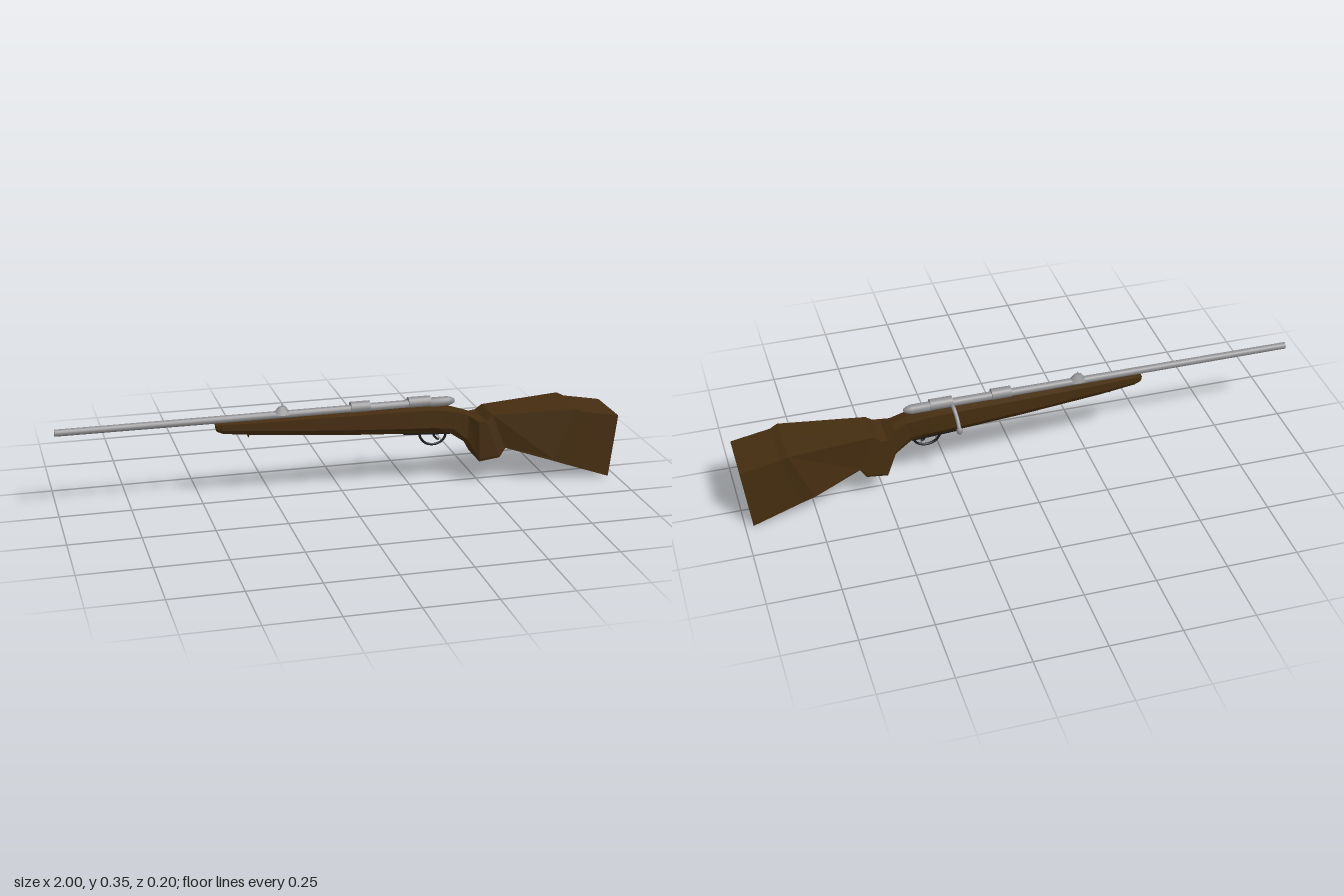
import * as THREE from 'three';

const wood = new THREE.MeshStandardMaterial({ color: 0x452d10 });
wood.name = 'walnut brown';
wood.flatShading = true;
const steel = new THREE.MeshStandardMaterial({ color: 0x8e8e90 });
steel.name = 'steel grey';
const black = new THREE.MeshStandardMaterial({ color: 0x17171a });
black.name = 'black';

// Stock sections: [top x, top y, bottom x, bottom y, half width, bottom width ratio, chamfer height, crown]
const SECTIONS = [
  [-0.450, 0.288, -0.447, 0.265, 0.015, 0.7, 0.008, 0.002],
  [-0.430, 0.290, -0.425, 0.256, 0.021, 0.6, 0.014, 0.004],
  [-0.300, 0.290, -0.300, 0.242, 0.027, 0.6, 0.018, 0.005],
  [0.000, 0.290, 0.000, 0.217, 0.035, 0.6, 0.022, 0.008],
  [0.250, 0.290, 0.250, 0.202, 0.042, 0.6, 0.024, 0.009],
  [0.330, 0.288, 0.330, 0.198, 0.043, 0.6, 0.024, 0.006],
  [0.410, 0.272, 0.395, 0.188, 0.034, 0.65, 0.022, 0.005],
  [0.455, 0.256, 0.452, 0.150, 0.037, 0.8, 0.015, 0.003],
  [0.485, 0.238, 0.490, 0.088, 0.066, 0.95, 0.010, 0],
  [0.510, 0.240, 0.565, 0.098, 0.067, 0.95, 0.010, 0],
  [0.535, 0.260, 0.587, 0.131, 0.062, 1, 0.006, 0],
  [0.835, 0.268, 0.755, 0.080, 0.099, 1, 0.006, 0],
  [0.862, 0.255, 0.800, 0.062, 0.095, 1, 0.006, 0],
  [1.000, 0.230, 0.972, 0.000, 0.095, 1, 0.040, 0],
];

// Lofts the sections into a closed, faceted solid
function loftStock() {
  const rings = SECTIONS.map(([tx, ty, bx, by, w, ratio, chamfer, crown]) => {
    const k = chamfer / (ty - by), mx = bx + (tx - bx) * k, my = by + chamfer;
    return [
      [tx, ty, w], [mx, my, w], [bx, by, w * ratio], [bx, by, -w * ratio],
      [mx, my, -w], [tx, ty, -w], [tx, ty + crown, 0],
    ];
  });
  const pos = [], n = rings[0].length;
  const tri = (...pts) => pts.forEach((p) => pos.push(...p));
  for (let i = 0; i < rings.length - 1; i++) {
    for (let j = 0; j < n; j++) {
      const k = (j + 1) % n;
      const a = rings[i][j], b = rings[i][k], c = rings[i + 1][k], d = rings[i + 1][j];
      tri(a, b, c);
      tri(a, c, d);
    }
  }
  const first = rings[0], last = rings[rings.length - 1];
  for (let j = 0; j < n - 2; j++) {
    tri(last[n - 1], last[j], last[j + 1]);
    tri(first[n - 1], first[j + 1], first[j]);
  }
  const geo = new THREE.BufferGeometry();
  geo.setAttribute('position', new THREE.Float32BufferAttribute(pos, 3));
  geo.computeVertexNormals();
  return geo;
}

export function createModel() {
  const group = new THREE.Group();
  const add = (name, geo, mat, x = 0, y = 0, z = 0) => {
    const mesh = new THREE.Mesh(geo, mat);
    mesh.name = name;
    mesh.position.set(x, y, z);
    group.add(mesh);
    return mesh;
  };
  // Cylinder lying along x from x0 to x1
  const rod = (name, x0, x1, r0, r1, y) => {
    const geo = new THREE.CylinderGeometry(r1, r0, x1 - x0, 16);
    geo.rotateZ(-Math.PI / 2);
    return add(name, geo, steel, (x0 + x1) / 2, y);
  };
  const tube = (name, pts, r, mat, segments = 24) => add(name, new THREE.TubeGeometry(
    new THREE.CatmullRomCurve3(pts.map((p) => new THREE.Vector3(...p))), segments, r, 8), mat);

  add('stock', loftStock(), wood);

  // Sling stud under the fore-end
  const stud = add('slingStud', new THREE.ConeGeometry(0.012, 0.026, 6), wood, -0.335, 0.243);
  stud.rotation.z = Math.PI;

  // Barrel and action
  rod('barrel', -1, 0.05, 0.012, 0.014, 0.305);
  rod('receiver', 0.04, 0.34, 0.015, 0.015, 0.305);
  rod('frontReceiverRing', 0.03, 0.10, 0.02, 0.02, 0.31);
  rod('rearReceiverRing', 0.24, 0.32, 0.02, 0.02, 0.31);
  const profile = [[0, -0.05], [0.017, -0.05], [0.017, 0.02], [0.013, 0.035], [0.007, 0.046], [0, 0.048]];
  const shroud = new THREE.LatheGeometry(profile.map((p) => new THREE.Vector2(...p)), 16);
  shroud.rotateZ(-Math.PI / 2);
  add('boltShroud', shroud, steel, 0.365, 0.305);

  // Sight: ramp collar with a thin blade
  const ramp = new THREE.CylinderGeometry(0.007, 0.02, 0.028, 12);
  ramp.scale(1.8, 1, 1);
  add('sightRamp', ramp, steel, -0.215, 0.32);
  add('sightBlade', new THREE.ConeGeometry(0.006, 0.02, 4), steel, -0.215, 0.337);

  // Bolt handle, turned down on the right-hand side
  tube('boltHandle', [[0.245, 0.308, -0.01], [0.243, 0.304, -0.035], [0.238, 0.275, -0.062], [0.237, 0.25, -0.082]], 0.007, steel);
  const knob = add('boltKnob', new THREE.SphereGeometry(0.011, 12, 8), steel, 0.237, 0.243, -0.086);
  knob.scale.y = 1.3;

  // Floor plate, trigger guard and trigger
  const plate = add('floorPlate', new THREE.BoxGeometry(0.17, 0.008, 0.05), black, 0.305, 0.1975);
  plate.rotation.z = -0.06;
  tube('triggerGuard', [[0.282, 0.2, 0], [0.288, 0.175, 0], [0.308, 0.153, 0], [0.338, 0.146, 0],
    [0.367, 0.156, 0], [0.38, 0.175, 0], [0.382, 0.195, 0]], 0.0045, black, 32);
  tube('trigger', [[0.335, 0.2, 0], [0.337, 0.182, 0], [0.347, 0.168, 0], [0.356, 0.164, 0]], 0.004, black, 12);

  return group;
}
